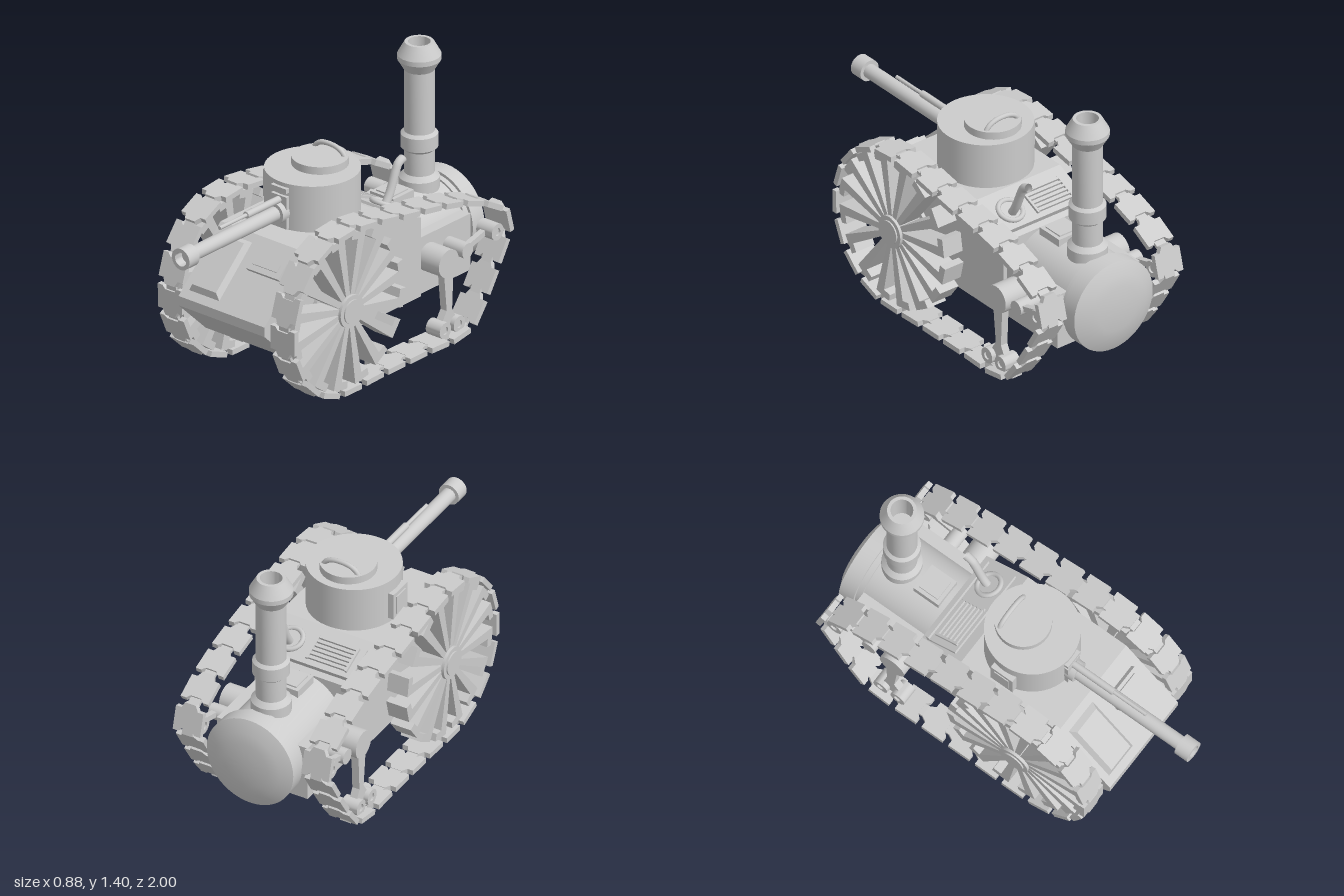
import * as THREE from 'three';
import { toCreasedNormals } from 'three/addons/utils/BufferGeometryUtils.js';

const mat = new THREE.MeshStandardMaterial({ color: 0xcccccc });
const V = (x, y, z) => new THREE.Vector3(x, y, z);

export function createModel() {
  const root = new THREE.Group();

  const add = (name, geo, pos = [0, 0, 0], parent = root) => {
    const m = new THREE.Mesh(geo, mat);
    m.name = name;
    m.position.set(...pos);
    parent.add(m);
    return m;
  };
  const group = (name, pos, rotX = 0) => {
    const g = new THREE.Group();
    g.name = name;
    g.position.set(...pos);
    g.rotation.x = rotX;
    root.add(g);
    return g;
  };
  const box = (w, h, d) => new THREE.BoxGeometry(w, h, d);
  const cylY = (r, h, seg = 40) => new THREE.CylinderGeometry(r, r, h, seg);
  const cylX = (r, w, seg = 28) => cylY(r, w, seg).rotateZ(Math.PI / 2);
  const cylZ = (r, l, seg = 24) => cylY(r, l, seg).rotateX(Math.PI / 2);
  const lathe = (pts, seg = 40) =>
    toCreasedNormals(new THREE.LatheGeometry(pts.map(p => new THREE.Vector2(...p)), seg), 0.45);
  const poly = pts => new THREE.Shape(pts.map(p => new THREE.Vector2(...p)));
  // Side profile given as (z, y), extruded across x and centred on x = 0
  const sideProfile = (shape, width) =>
    new THREE.ExtrudeGeometry(shape, { depth: width, bevelEnabled: false, curveSegments: 16 })
      .translate(0, 0, -width / 2).rotateY(-Math.PI / 2);
  // Ring with a bore, lying across x
  const ringX = (r, bore, width) => {
    const s = new THREE.Shape().absarc(0, 0, r, 0, Math.PI * 2);
    s.holes.push(new THREE.Path().absarc(0, 0, bore, 0, Math.PI * 2, true));
    return toCreasedNormals(sideProfile(s, width), 0.5);
  };

  // Hull
  add('hull', sideProfile(poly([[0.5, 0.22], [0.7, 0.41], [0.7, 0.46], [0.39, 0.75],
    [-0.2, 0.75], [-0.45, 0.64], [-0.45, 0.22]]), 0.55));
  add('boilerCradle', box(0.51, 0.3, 0.42), [0, 0.37, -0.63]);

  // Sloped front plate fittings
  const onFront = (name, x, y) =>
    group(name, [x, y, 0.39 + (0.75 - y) * 0.31 / 0.29], -0.82);
  const hatch = onFront('frontHatch', -0.14, 0.605);
  const hatchGeo = box(0.195, 0.335, 0.03);
  const hp = hatchGeo.attributes.position;
  for (let i = 0; i < hp.count; i++) {
    if (hp.getZ(i) > 0) hp.setXY(i, hp.getX(i) * 0.78, hp.getY(i) * 0.84);
  }
  hatchGeo.computeVertexNormals();
  add('hatchPlate', hatchGeo, [0, 0, 0.013], hatch);
  const visor = onFront('visor', 0.1225, 0.655);
  add('visorBase', box(0.205, 0.09, 0.03), [0, 0, 0.012], visor);
  add('visorShutter', box(0.155, 0.04, 0.03), [0, 0.005, 0.02], visor);

  // Sloped engine deck
  const deck = group('engineDeck', [0, 0.695, -0.325], -Math.PI / 2 - Math.atan(0.11 / 0.25));
  add('deckPlate', box(0.49, 0.185, 0.016), [0, 0.01, 0.006], deck);
  add('deckRidge', box(0.49, 0.018, 0.035), [0, 0.095, 0.012], deck);
  for (const sx of [-1, 1]) add('grilleRail', box(0.012, 0.14, 0.025), [-0.095 + sx * 0.11, 0, 0.015], deck);
  for (let i = 0; i < 6; i++) {
    add('grilleBar', box(0.21, 0.012, 0.02), [-0.095, -0.06 + i * 0.024, 0.018], deck);
  }
  add('exhaustPort', cylZ(0.065, 0.03), [0.14, 0, 0.012], deck);
  add('exhaustPortRing', new THREE.TorusGeometry(0.062, 0.013, 10, 32), [0.14, 0, 0.026], deck);
  const pipe = new THREE.CatmullRomCurve3([V(0.14, 0.69, -0.335), V(0.14, 0.76, -0.378),
    V(0.14, 0.86, -0.42), V(0.14, 0.895, -0.44), V(0.14, 0.91, -0.475)]);
  const pipeMesh = add('exhaustPipe', new THREE.TubeGeometry(pipe, 20, 0.022, 14));
  pipeMesh.material = mat.clone();
  pipeMesh.material.side = THREE.DoubleSide;

  // Boiler with domed end cap
  add('boiler', lathe([[0.218, 0.42], [0.218, 0.84], [0.228, 0.84], [0.228, 0.87], [0.243, 0.87],
    [0.243, 0.955], [0.18, 0.983], [0.12, 0.993], [0.06, 0.999], [0, 1]], 48).rotateX(-Math.PI / 2), [0, 0.42, 0]);
  add('boilerHatch', box(0.15, 0.05, 0.15), [0, 0.64, -0.555]);
  add('boilerHatchLid', box(0.11, 0.01, 0.11), [0, 0.667, -0.555]);

  // Chimney
  add('chimney', lathe([[0.1, 0.58], [0.1, 0.675], [0.075, 0.7], [0.075, 0.82], [0.092, 0.835],
    [0.092, 0.905], [0.075, 0.92], [0.075, 1.245], [0.108, 1.3], [0.108, 1.325], [0.072, 1.39],
    [0.055, 1.39], [0.055, 1.2], [0, 1.2]]), [0, 0, -0.755]);

  // Turret
  add('turretRing', cylY(0.222, 0.03, 48), [0, 0.755, 0.03]);
  add('turret', cylY(0.235, 0.24, 56), [0, 0.88, 0.03]);
  add('turretHatch', cylY(0.14, 0.04), [0, 1.02, -0.025]);
  const handle = new THREE.CatmullRomCurve3([V(-0.1, 1.03, -0.095), V(-0.08, 1.055, -0.095),
    V(-0.04, 1.073, -0.095), V(0.04, 1.073, -0.095), V(0.08, 1.055, -0.095), V(0.1, 1.03, -0.095)]);
  add('hatchHandle', new THREE.TubeGeometry(handle, 24, 0.013, 10));
  add('turretDoor', box(0.035, 0.145, 0.13), [-0.24, 0.86, 0.035]);
  add('turretDoorPanel', box(0.015, 0.1, 0.085), [-0.255, 0.86, 0.035]);
  add('turretVisor', box(0.1, 0.024, 0.04), [0, 0.967, 0.262]);
  add('mantlet', box(0.1, 0.17, 0.05), [0, 0.85, 0.255]);

  // Guns
  add('gunCollar', cylZ(0.055, 0.05), [0, 0.845, 0.285]);
  add('gunBarrel', cylZ(0.037, 0.7), [0, 0.845, 0.6]);
  add('gunMuzzle', lathe([[0.03, 0], [0.056, 0], [0.056, 0.075], [0.036, 0.075], [0.036, 0.02], [0, 0.02]], 28)
    .rotateX(Math.PI / 2), [0, 0.845, 0.925]);
  add('machineGunSleeve', cylZ(0.018, 0.26, 16), [0, 0.912, 0.39]);
  add('machineGunBarrel', cylZ(0.01, 0.3, 12), [0, 0.912, 0.565]);

  // Track path in side view, as (z, y), running forward along the ground
  const path = new THREE.CatmullRomCurve3([[-0.57, 0.016], [-0.3, 0.016], [0, 0.016], [0.33, 0.018],
    [0.46, 0.07], [0.55, 0.145], [0.61, 0.24], [0.648, 0.36], [0.645, 0.49], [0.61, 0.61], [0.55, 0.71],
    [0.46, 0.79], [0.35, 0.835], [0.2, 0.85], [0.05, 0.835], [-0.2, 0.79], [-0.41, 0.755], [-0.6, 0.71],
    [-0.77, 0.645], [-0.9, 0.555], [-0.925, 0.46], [-0.87, 0.35], [-0.76, 0.17], [-0.66, 0.045]]
    .map(([z, y]) => V(0, y, z)), true);
  path.arcLengthDivisions = 600;
  const links = 25, pitch = path.getLength() / links, e = pitch * 0.39;
  // Chevron link whose middle tab meets the next link
  const edge = [[-0.077, 0], [-0.046, 0], [-0.03, -0.03], [0.03, -0.03], [0.046, 0], [0.077, 0]];
  const linkShape = poly([...edge.map(([x, s]) => [x, s - e]),
    ...edge.map(([x, s]) => [x, s * 0.6 + e]).reverse()]);
  const linkGeo = new THREE.ExtrudeGeometry(linkShape, { depth: 0.028, bevelEnabled: false }).translate(0, 0, -0.014);
  const padGeo = box(0.06, pitch * 0.96, 0.016);

  // Drive wheel spoke with a foot at its tip
  const spokeGeo = sideProfile(poly([[-0.014, 0.06], [0.014, 0.06], [0.027, 0.365], [0.072, 0.365],
    [0.076, 0.405], [-0.024, 0.405]]), 0.115);
  // Suspension arm and rear tension link
  const armGeo = sideProfile(poly([[-0.5, 0.36], [-0.52, 0.15], [-0.475, 0.08], [-0.485, 0.04],
    [-0.585, 0.04], [-0.595, 0.08], [-0.56, 0.15], [-0.57, 0.36]]), 0.04);
  const tensionGeo = sideProfile(poly([[-0.675, 0.4], [-0.675, 0.43], [-0.86, 0.48], [-0.86, 0.45]]), 0.03);

  for (const side of [1, -1]) {
    const label = side > 0 ? 'left' : 'right';
    const X = x => side * x;

    // Track links
    const track = group(label + 'Track', [X(0.361), 0, 0]);
    for (let i = 0; i < links; i++) {
      const u = i / links, t = path.getTangentAt(u), p = path.getPointAt(u);
      const link = add('trackLink', linkGeo, p.toArray(), track);
      const out = V(1, 0, 0).cross(t);
      link.quaternion.setFromRotationMatrix(new THREE.Matrix4().makeBasis(V(1, 0, 0), t, out));
      add('linkPad', padGeo, [0, 0, -0.004], link);
    }

    // Drive wheel
    const wheel = group(label + 'DriveWheel', [X(0.36), 0.43, 0.235]);
    for (let i = 0; i < 16; i++) {
      add('spoke', spokeGeo, [0, 0, 0], wheel).rotation.x = (i + 0.4) * Math.PI / 8;
    }
    add('hub', cylX(0.085, 0.145, 36), [0, 0, 0], wheel);
    add('hubCap', cylX(0.062, 0.16, 36), [0, 0, 0], wheel);
    add('axleFlange', cylX(0.11, 0.03, 36), [X(-0.08), 0, 0], wheel);

    // Suspension
    add('suspensionPivot', cylX(0.073, 0.14), [X(0.315), 0.4, -0.53]);
    add('suspensionArm', armGeo, [X(0.36), 0, 0]);
    for (const z of [-0.482, -0.585]) {
      add('roadRoller', ringX(0.042, 0.02, 0.09), [X(0.36), 0.065, z]);
      add('rollerPin', cylX(0.02, 0.07, 16), [X(0.36), 0.065, z]);
    }
    add('tensionPivot', cylX(0.04, 0.14), [X(0.31), 0.415, -0.675]);
    add('tensionLink', tensionGeo, [X(0.35), 0, 0]);
    add('idlerRoller', ringX(0.043, 0.02, 0.1), [X(0.36), 0.46, -0.86]);
    add('idlerPin', cylX(0.02, 0.08, 16), [X(0.36), 0.46, -0.86]);
  }
  return root;
}
